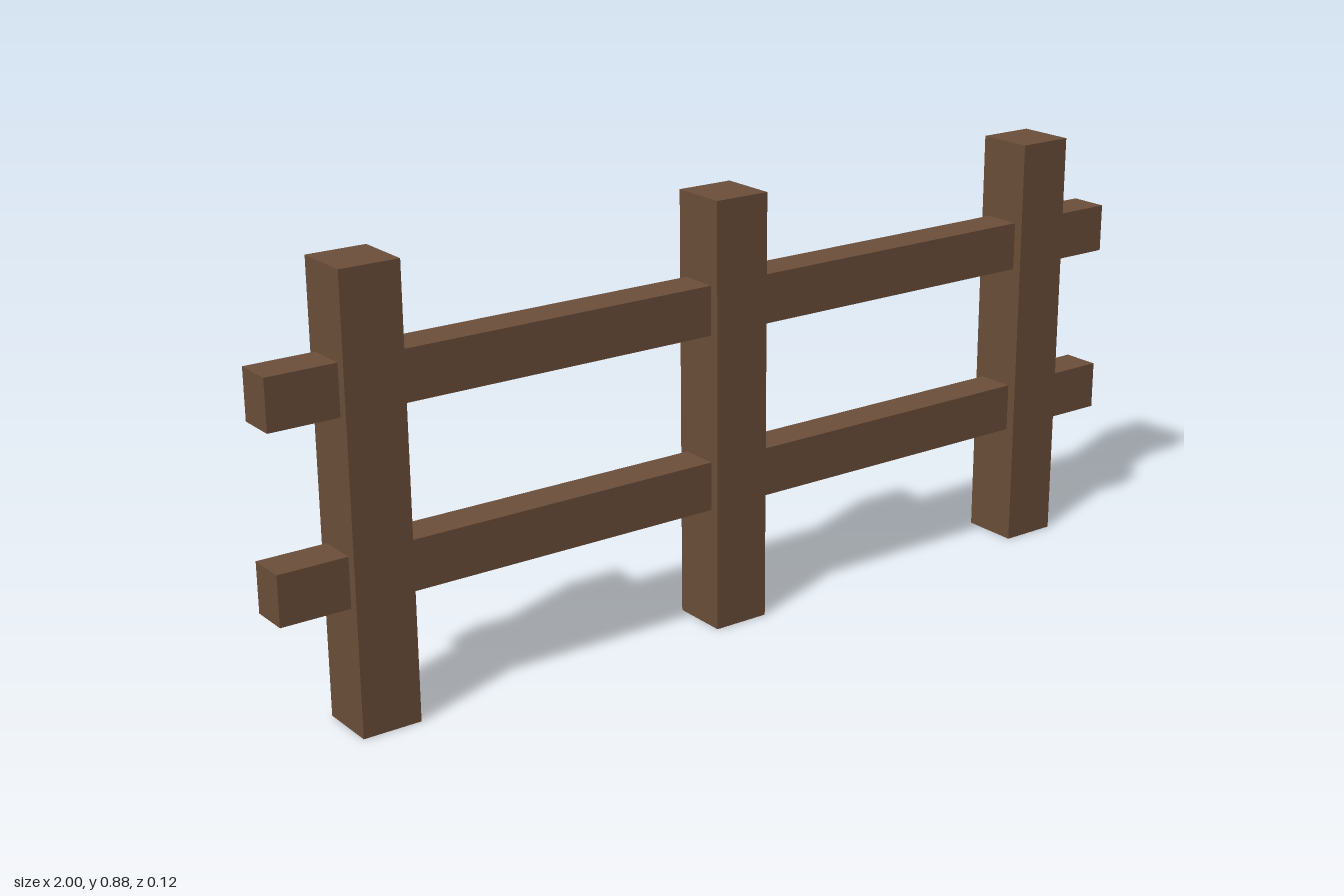
import * as THREE from 'three';

export function createModel() {
  const fence = new THREE.Group();
  fence.name = 'fence';

  const wood = new THREE.MeshStandardMaterial({ color: 0x6b4f3a });
  wood.name = 'brown wood';

  const addBeam = (name, size, x, y) => {
    const beam = new THREE.Mesh(new THREE.BoxGeometry(...size), wood);
    beam.name = name;
    beam.position.set(x, y, 0);
    fence.add(beam);
  };

  // Three square upright posts
  const postHeight = 0.88;
  [['rightPost', -0.8], ['middlePost', 0], ['leftPost', 0.8]].forEach(([name, x]) =>
    addBeam(name, [0.12, postHeight, 0.12], x, postHeight / 2));

  // Two horizontal rails running through the posts
  [['lowerRail', 0.3], ['upperRail', 0.66]].forEach(([name, y]) =>
    addBeam(name, [2, 0.1, 0.08], 0, y));

  return fence;
}
